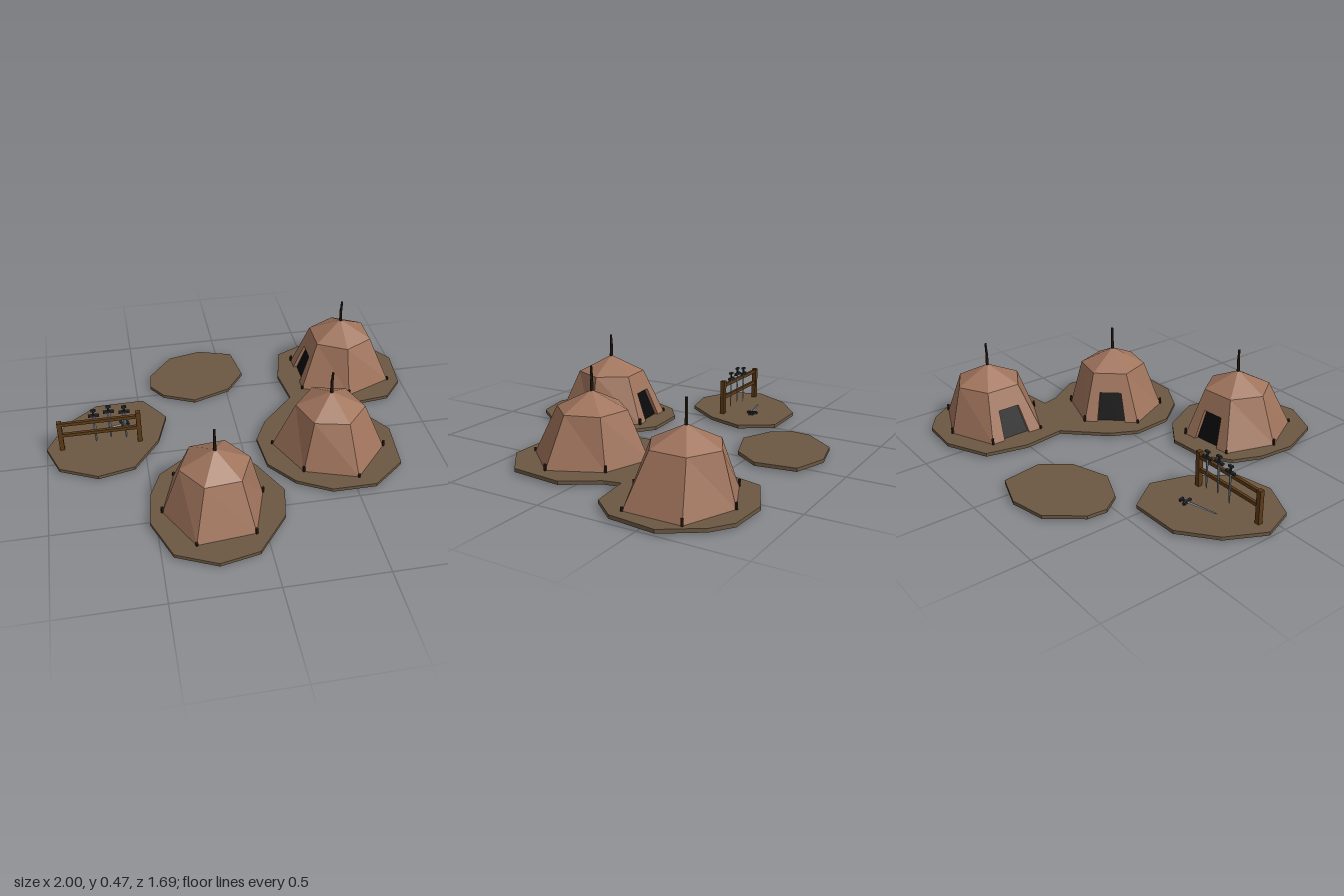
import * as THREE from 'three';

const mat = (color, extra = {}) => {
  const m = new THREE.MeshStandardMaterial({ flatShading: true, ...extra });
  m.color.set(color);
  return m;
};
const earth = mat(0x6b5843), cloth = mat(0xa0745c, { side: THREE.DoubleSide });
const black = mat(0x0a0a0a, { side: THREE.DoubleSide }), darkWood = mat(0x2c1e14);
const wood = mat(0x5c3a16), steel = mat(0x80868c), iron = mat(0x25282b);

const GROUND = 0.028, EAVE = 0.272, APEX = 0.36;

function add(parent, name, geo, material, x = 0, y = 0, z = 0) {
  const m = new THREE.Mesh(geo, material);
  m.name = name;
  m.position.set(x, y, z);
  parent.add(m);
  return m;
}

// Flat patch of earth from an outline of [x, z] points
function patch(parent, name, outline) {
  const shape = new THREE.Shape(outline.map(([x, z]) => new THREE.Vector2(x, -z)));
  const geo = new THREE.ExtrudeGeometry(shape, { depth: GROUND - 0.01, bevelEnabled: false });
  geo.rotateX(-Math.PI / 2);
  add(parent, name, geo, earth, 0, 0.01, 0);
}

// Flat faces from quads (4 corners) and triangles (3 corners)
function faces(list) {
  const pts = [];
  for (const f of list) {
    pts.push(f[0], f[1], f[2]);
    if (f.length === 4) pts.push(f[0], f[2], f[3]);
  }
  const geo = new THREE.BufferGeometry().setFromPoints(pts);
  geo.computeVertexNormals();
  return geo;
}

// Six-sided tent whose doorway looks towards -x
function tent(name, x, z, turn) {
  const g = new THREE.Group();
  g.name = name;
  g.position.set(x, 0, z);
  g.rotation.y = turn;
  const base = [[-0.243, -0.13], [-0.005, -0.237], [0.254, -0.13], [0.254, 0.155], [0, 0.262], [-0.243, 0.155]]
    .map(([a, b]) => new THREE.Vector3(a, GROUND, b));
  const eave = [[-0.152, -0.088], [0, -0.172], [0.152, -0.088], [0.152, 0.088], [0, 0.172], [-0.152, 0.088]]
    .map(([a, b]) => new THREE.Vector3(a, EAVE, b));
  const apex = new THREE.Vector3(0, APEX, 0);

  const walls = [], roof = [];
  for (let i = 0; i < 6; i++) {
    const j = (i + 1) % 6;
    roof.push([eave[i], apex, eave[j]]);
    if (i < 5) walls.push([base[i], eave[i], eave[j], base[j]]);
  }
  // Door wall: cloth around an opening, with a recessed dark panel
  const at = (u, v) => base[5].clone().lerp(base[0], u)
    .lerp(eave[5].clone().lerp(eave[0], u), v);
  const L = 0.24, R = 0.76, T = 0.6;
  walls.push([at(0, 0), at(0, T), at(L, T), at(L, 0)]);
  walls.push([at(R, 0), at(R, T), at(1, T), at(1, 0)]);
  walls.push([at(0, T), at(0, 1), at(1, 1), at(1, T)]);
  const rim = [at(L, 0), at(L, T), at(R, T), at(R, 0)];
  const inner = rim.map(p => p.clone().add(new THREE.Vector3(0.02, 0, 0)));
  for (let i = 0; i < 3; i++) walls.push([rim[i], rim[i + 1], inner[i + 1], inner[i]]);

  add(g, 'tentWalls', faces(walls), cloth);
  add(g, 'tentRoof', faces(roof), cloth);
  add(g, 'doorway', faces([inner]), black);

  // Centre pole in two slightly crooked lengths
  add(g, 'poleLower', new THREE.CylinderGeometry(0.007, 0.009, 0.08, 6), darkWood, 0, 0.385, 0).rotation.z = 0.04;
  add(g, 'poleUpper', new THREE.CylinderGeometry(0.006, 0.007, 0.06, 6), darkWood, 0, 0.444, 0).rotation.z = -0.04;

  // Pegs at the corners, two of them driven deeper
  base.forEach((p, i) => {
    const y = i === 3 || i === 5 ? 0.0225 : 0.0375;
    add(g, 'peg', new THREE.CylinderGeometry(0.007, 0.007, 0.045, 6), darkWood, p.x, y, p.z);
  });
  return g;
}

// Sword pointing down, origin at the tip
function sword() {
  const g = new THREE.Group();
  g.name = 'sword';
  const blade = new THREE.CylinderGeometry(0.009, 0.005, 0.155, 4);
  blade.scale(1, 1, 0.4);
  add(g, 'blade', blade, steel, 0, 0.0875, 0);
  const tip = new THREE.ConeGeometry(0.005, 0.012, 4).rotateX(Math.PI);
  tip.scale(1, 1, 0.4);
  add(g, 'bladeTip', tip, steel, 0, 0.006, 0);
  add(g, 'guard', new THREE.BoxGeometry(0.056, 0.012, 0.013), iron, 0, 0.168, 0);
  add(g, 'grip', new THREE.CylinderGeometry(0.006, 0.006, 0.03, 6), iron, 0, 0.187, 0);
  add(g, 'pommel', new THREE.BoxGeometry(0.026, 0.01, 0.013), iron, 0, 0.199, 0);
  return g;
}

export function createModel() {
  const model = new THREE.Group();
  model.name = 'camp';

  // Ground patches
  patch(model, 'emptyGround', [[-0.41, -0.65], [-0.28, -0.81], [-0.1, -0.85], [0.08, -0.79], [0.11, -0.585],
    [0.01, -0.45], [-0.19, -0.38], [-0.355, -0.455], [-0.42, -0.55]]);
  patch(model, 'rackGround', [[-1, -0.095], [-0.9, -0.285], [-0.73, -0.42], [-0.475, -0.425], [-0.365, -0.26],
    [-0.425, -0.07], [-0.565, 0.12], [-0.75, 0.16], [-0.94, 0.07]]);
  patch(model, 'frontTentGround', [[-0.335, 0.115], [-0.115, 0.1], [0.035, 0.21], [0.14, 0.42], [0.105, 0.595],
    [-0.055, 0.8], [-0.25, 0.84], [-0.445, 0.75], [-0.53, 0.53], [-0.51, 0.34], [-0.45, 0.2]]);
  patch(model, 'twinTentGround', [[0.36, -0.735], [0.575, -0.84], [0.78, -0.83], [0.88, -0.76], [1, -0.585],
    [0.975, -0.35], [0.87, -0.225], [0.66, -0.2], [0.68, -0.115], [0.79, 0.055], [0.765, 0.325], [0.595, 0.46],
    [0.375, 0.46], [0.21, 0.37], [0.095, 0.22], [0.08, 0.015], [0.15, -0.12], [0.335, -0.31], [0.31, -0.52]]);

  // Tents
  model.add(tent('frontTent', -0.205, 0.445, -1.478));
  model.add(tent('middleTent', 0.437, 0.113, -0.73));
  model.add(tent('backTent', 0.663, -0.532, 0));

  // Weapon rack
  const rack = new THREE.Group();
  rack.name = 'weaponRack';
  model.add(rack);
  for (const [x, top] of [[-0.92, 0.2], [-0.52, 0.214]]) {
    const h = top - 0.02;
    add(rack, 'rackPost', new THREE.BoxGeometry(0.024, h, 0.024), wood, x, 0.02 + h / 2, -0.088);
  }
  for (const y of [0.186, 0.118]) {
    add(rack, 'rackRail', new THREE.BoxGeometry(0.4, 0.018, 0.015), wood, -0.72, y, -0.087);
  }

  // Swords leaning behind the rails
  for (const [x, y] of [[-0.743, 0.042], [-0.666, 0.057], [-0.588, 0.046]]) {
    const s = sword();
    s.position.set(x, y, -0.101);
    rack.add(s);
  }

  // Sword lying on the ground behind the rack
  const fallen = sword();
  fallen.name = 'fallenSword';
  fallen.rotation.set(-Math.PI / 2, 0, -1.33, 'YXZ');
  fallen.position.set(-0.765, GROUND + 0.006, -0.19);
  model.add(fallen);
  return model;
}
